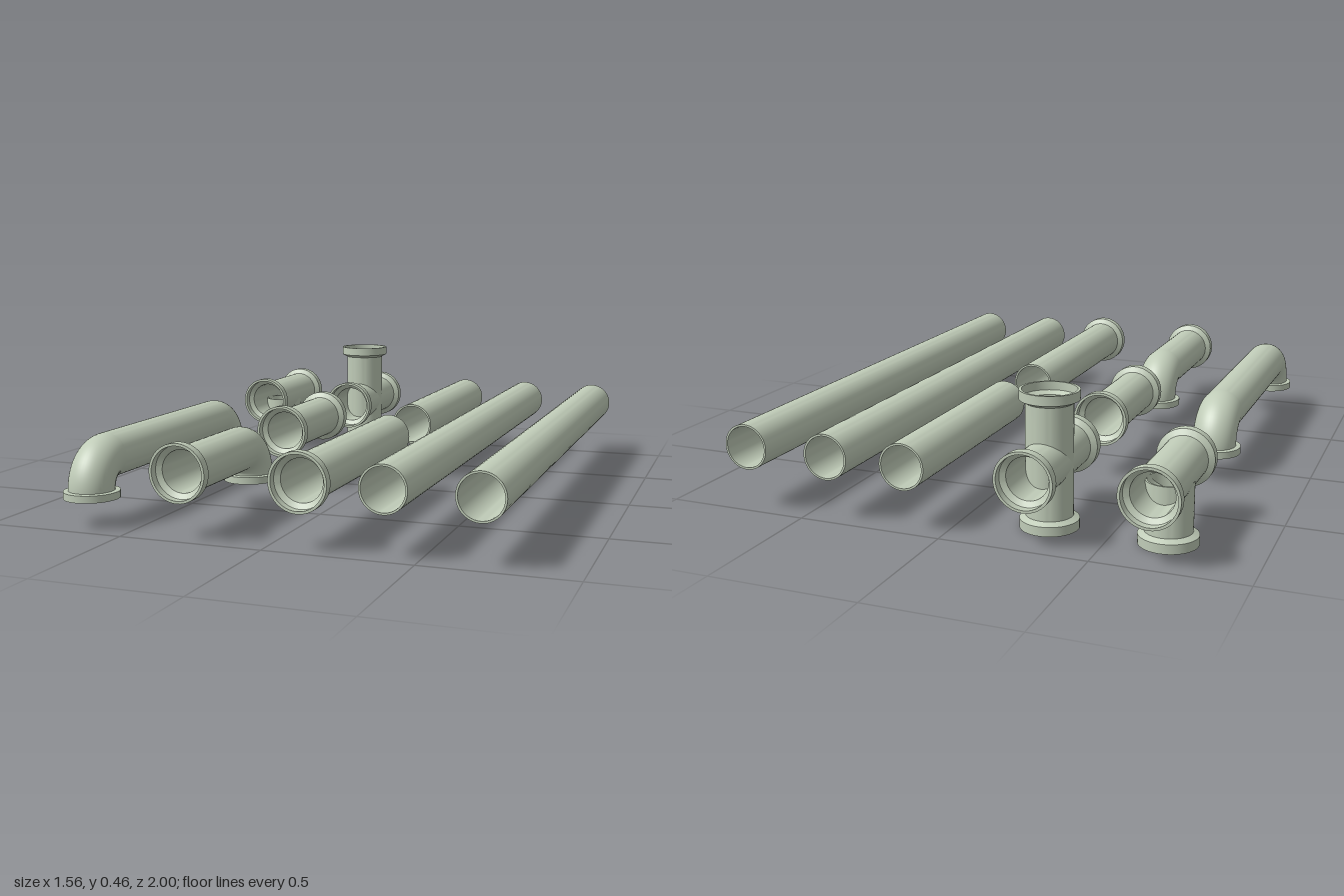
import * as THREE from 'three';
import { toCreasedNormals } from 'three/addons/utils/BufferGeometryUtils.js';

const R = 0.078;      // pipe outer radius
const RI = 0.071;     // pipe bore radius
const BELL = 0.098;   // socket outer radius
const BELL_IN = 0.089;
const AXIS = 0.222;   // height of the lying pipes
const BEND = 0.1;     // bend radius
const SEG = 48;

export function createModel() {
  const model = new THREE.Group();
  model.name = 'pipeFittings';
  const pipeMat = new THREE.MeshStandardMaterial({ color: 0xc0ccb8, side: THREE.DoubleSide });
  pipeMat.name = 'pale green pipe';

  const group = (name) => {
    const g = new THREE.Group();
    g.name = name;
    model.add(g);
    return g;
  };

  const lathe = (pts) => toCreasedNormals(
    new THREE.LatheGeometry(pts.map(([r, y]) => new THREE.Vector2(r, y)), SEG), 0.5);

  const add = (parent, name, geo, x, y, z) => {
    const m = new THREE.Mesh(geo, pipeMat);
    m.name = name;
    m.position.set(x, y, z);
    parent.add(m);
    return m;
  };

  // Hollow tube along y with optional widened sockets at its ends
  const tubeGeometry = (len, startBell, endBell) => {
    const outer = [], inner = [];
    if (startBell) {
      outer.push([BELL, 0], [BELL, 0.032], [R, 0.043]);
      inner.push([BELL_IN, 0], [BELL_IN, 0.028], [RI, 0.039]);
    } else {
      outer.push([R, 0]);
      inner.push([RI, 0]);
    }
    if (endBell) {
      outer.push([R, len - 0.043], [BELL, len - 0.032], [BELL, len]);
      inner.push([RI, len - 0.039], [BELL_IN, len - 0.028], [BELL_IN, len]);
    } else {
      outer.push([R, len]);
      inner.push([RI, len]);
    }
    return lathe([...outer, ...inner.reverse(), outer[0]]);
  };

  // Tube lying along z
  const lying = (parent, name, x, z0, z1, startBell, endBell) => {
    const m = add(parent, name, tubeGeometry(z1 - z0, startBell, endBell), x, AXIS, z0);
    m.rotation.x = Math.PI / 2;
  };

  // Upright tube
  const upright = (parent, name, x, z, y0, y1, startBell, endBell) =>
    add(parent, name, tubeGeometry(y1 - y0, startBell, endBell), x, y0, z);

  // Quarter bend turning down into a flanged foot; dir is the side the foot is on
  const bend = (parent, x, footZ, dir) => {
    const base = AXIS - BEND;
    for (const [name, r] of [['bendOutside', R], ['bendBore', RI]]) {
      const geo = new THREE.TorusGeometry(BEND, r, SEG, 16, Math.PI / 2);
      const m = add(parent, name, geo, x, base, footZ - dir * BEND);
      m.rotation.y = -dir * Math.PI / 2;
    }
    add(parent, 'footFlange', lathe([
      [0.095, 0], [0.095, 0.025], [R, 0.027], [RI, 0.027],
      [RI, 0.023], [0.088, 0.02], [0.088, 0], [0.095, 0],
    ]), x, 0.095, footZ);
  };

  // Plain and socketed straight pipes
  lying(group('longPipeLeft'), 'tube', 0.7, -1, 1, false, false);
  lying(group('longPipeRight'), 'tube', 0.4, -1, 1, false, false);
  lying(group('shortPipe'), 'tube', 0.124, -1, -0.17, false, false);
  lying(group('socketPipe'), 'tube', 0.124, 0.11, 1, false, true);

  // Straight coupling
  lying(group('coupling'), 'tube', -0.288, -0.275, 0.175, true, true);

  // Elbow with one socket
  const elbow = group('elbow');
  lying(elbow, 'tube', -0.288, 0.45 + BEND, 1, false, true);
  bend(elbow, -0.288, 0.45, -1);

  // Double bend
  const double = group('doubleBend');
  lying(double, 'tube', -0.665, -0.1 + BEND, 0.895 - BEND, false, false);
  bend(double, -0.665, -0.1, -1);
  bend(double, -0.665, 0.895, 1);

  // Tee with its branch pointing down
  const tee = group('tee');
  lying(tee, 'run', -0.685, -1, -0.555, true, true);
  upright(tee, 'branch', -0.685, -0.77, 0, 0.21, true, false);

  // Cross
  const cross = group('cross');
  lying(cross, 'run', -0.288, -1, -0.555, true, true);
  upright(cross, 'riser', -0.288, -0.77, 0, 0.46, true, true);

  return model;
}
